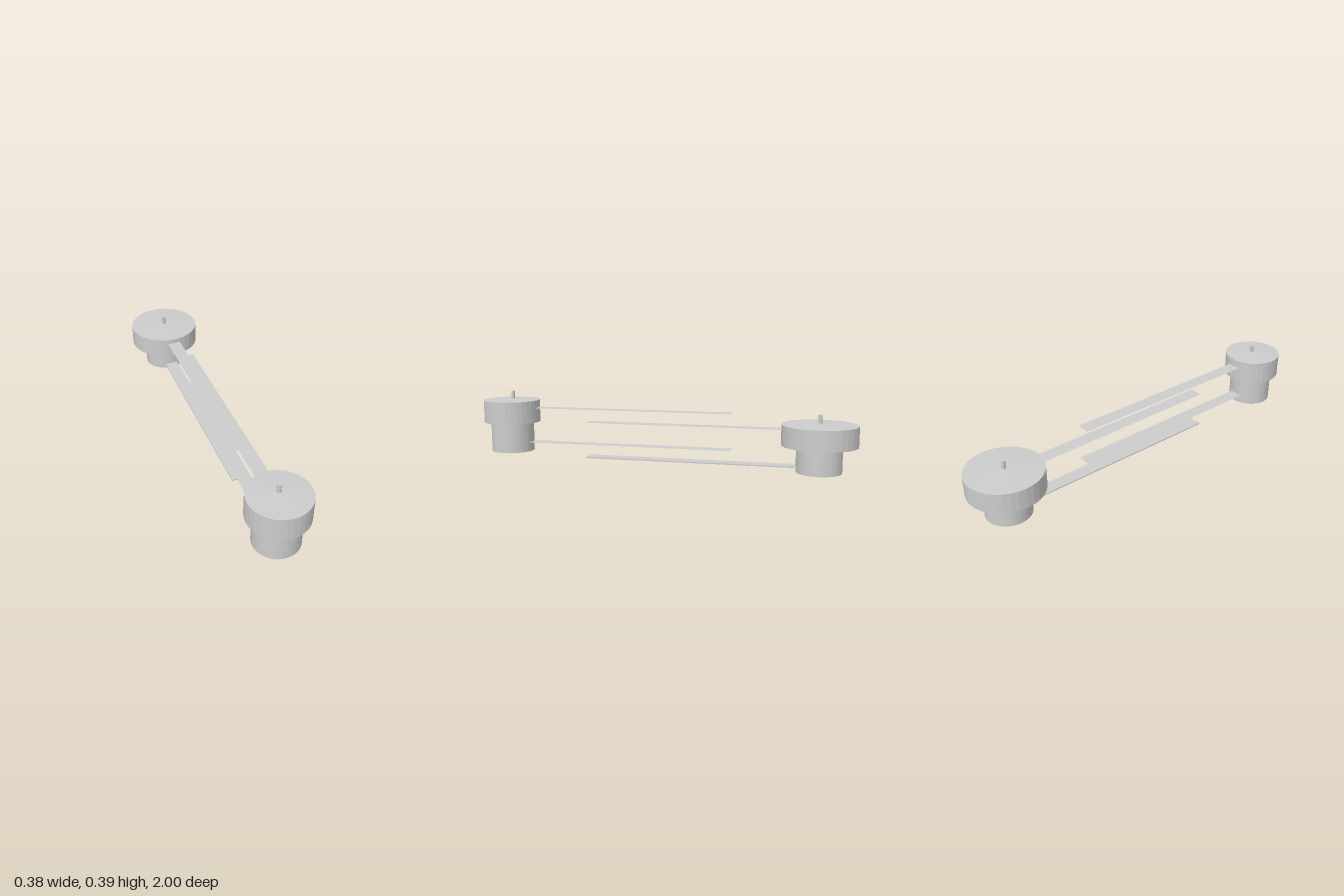
import * as THREE from 'three';

const grey = new THREE.MeshStandardMaterial({ color: 0xcccccc, flatShading: true, side: THREE.DoubleSide });
grey.name = 'plain grey';

function add(parent, name, geometry, x, y, z) {
  const mesh = new THREE.Mesh(geometry, grey);
  mesh.name = name;
  mesh.position.set(x, y, z);
  parent.add(mesh);
  return mesh;
}

// Stepped drum with shallow cones above and below, and a small pin on top
function drum(name, z, { neck, head, apexLow, base, step, rim, apexHigh, pinTop, pinZ }) {
  const group = new THREE.Group();
  group.name = name;
  group.position.z = z;
  const profile = [
    [0, apexLow], [neck, base], [neck, step - 0.002], [head, step], [head, rim], [0, apexHigh],
  ].map(([r, y]) => new THREE.Vector2(r, y));
  add(group, 'drumBody', new THREE.LatheGeometry(profile, 32), 0, 0, 0);
  const low = rim - 0.01;
  add(group, 'pin', new THREE.CylinderGeometry(0.01, 0.01, pinTop - low, 10), 0, (pinTop + low) / 2, pinZ);
  return group;
}

// Flat strip lying along z; a thickness of 0 gives a single sheet
function strip(parent, name, x0, x1, z0, z1, y, thickness = 0) {
  const w = x1 - x0, l = z1 - z0;
  const geometry = thickness
    ? new THREE.BoxGeometry(w, thickness, l)
    : new THREE.PlaneGeometry(w, l).rotateX(-Math.PI / 2);
  add(parent, name, geometry, (x0 + x1) / 2, y, (z0 + z1) / 2);
}

export function createModel() {
  const model = new THREE.Group();
  model.name = 'linkedDrums';

  model.add(drum('frontDrum', 0.848, {
    neck: 0.115, head: 0.151, apexLow: 0.049, base: 0.059, step: 0.218,
    rim: 0.338, apexHigh: 0.346, pinTop: 0.386, pinZ: -0.008,
  }));
  model.add(drum('backDrum', -0.809, {
    neck: 0.115, head: 0.191, apexLow: 0.0, base: 0.014, step: 0.15,
    rim: 0.255, apexHigh: 0.262, pinTop: 0.305, pinZ: 0,
  }));

  // Strips reaching back from the front drum
  strip(model, 'frontUpperStrip', -0.038, 0.034, -0.365, 0.73, 0.298);
  strip(model, 'frontLowerStrip', -0.038, 0.034, -0.365, 0.77, 0.109);

  // Strips reaching forward from the back drum
  strip(model, 'backUpperStrip', -0.033, 0.04, -0.65, 0.408, 0.229);
  strip(model, 'backLowerStrip', -0.033, 0.04, -0.73, 0.408, 0.041, 0.006);

  return model;
}
